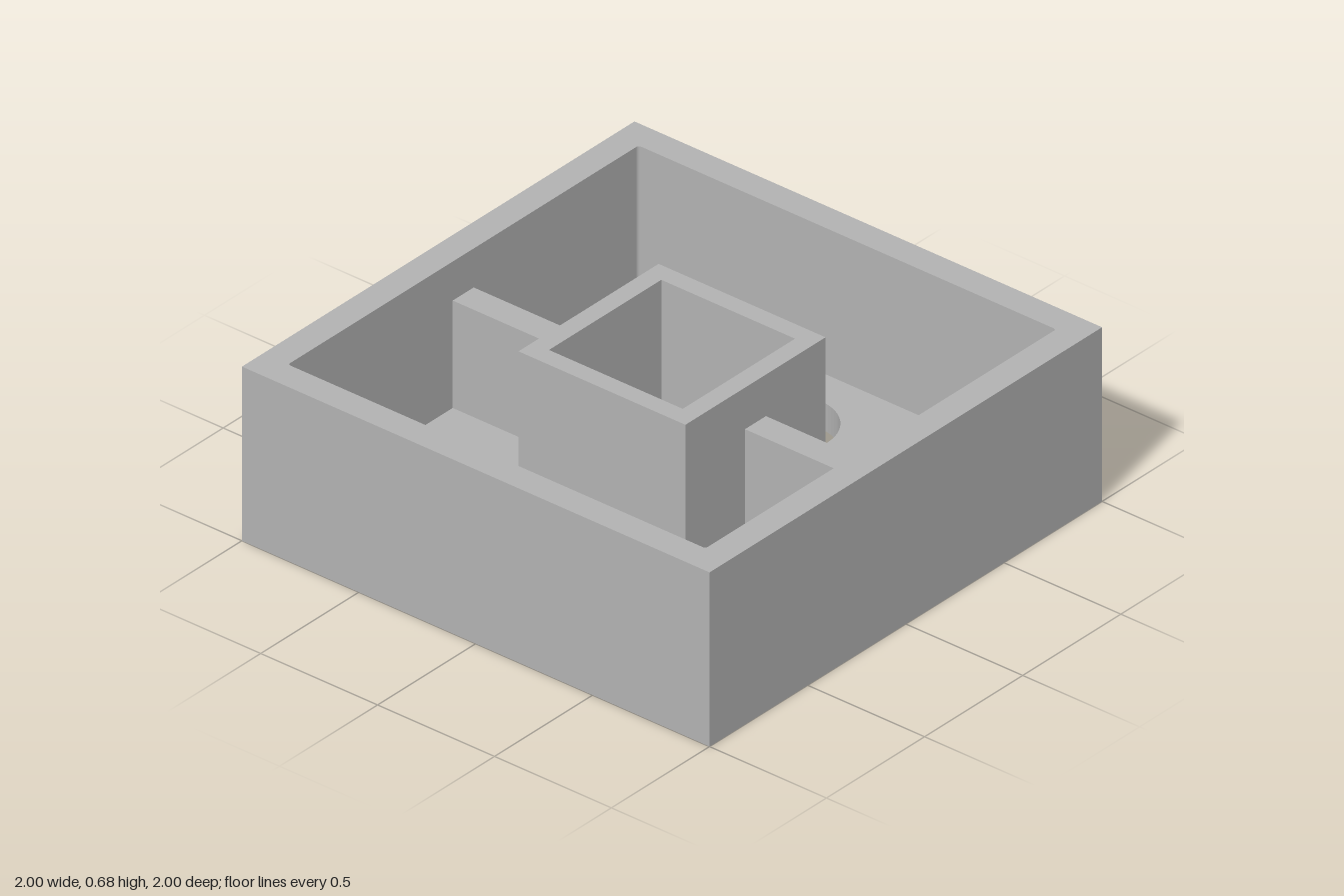
import * as THREE from 'three';

const FLOOR = 0.107, WALL_TOP = 0.67, TUBE_TOP = 0.68, RIB_TOP = 0.52;
const INNER = 0.893, TUBE_OUT = 0.357, TUBE_IN = 0.286;

// Square outline with optional rounded corners
function square(PathType, half, r = 0) {
  const p = new PathType();
  if (!r) {
    p.moveTo(-half, -half);
    p.lineTo(half, -half);
    p.lineTo(half, half);
    p.lineTo(-half, half);
  } else {
    const c = half - r;
    [[c, -c, -1], [c, c, 0], [-c, c, 1], [-c, -c, 2]].forEach(([x, y, q]) =>
      p.absarc(x, y, r, q * Math.PI / 2, (q + 1) * Math.PI / 2, false));
  }
  p.closePath();
  return p;
}

// Extrude a plan shape upwards from y0 to y1
function slab(shape, y0, y1) {
  const g = new THREE.ExtrudeGeometry(shape, { depth: y1 - y0, bevelEnabled: false, curveSegments: 32 });
  g.rotateX(-Math.PI / 2);
  g.translate(0, y0, 0);
  return g;
}

export function createModel() {
  const model = new THREE.Group();
  model.name = 'dividedBox';
  const grey = new THREE.MeshStandardMaterial({ color: 0xb2b2b2 });
  grey.name = 'plain grey';

  const add = (name, geometry) => {
    const mesh = new THREE.Mesh(geometry, grey);
    mesh.name = name;
    model.add(mesh);
    return mesh;
  };

  // Outer walls around a cavity with slightly softened corners
  const walls = square(THREE.Shape, 1);
  walls.holes.push(square(THREE.Path, INNER, 0.012));
  add('outerWalls', slab(walls, 0, WALL_TOP));

  // Floor with two round holes and the opening for the tube
  const floor = square(THREE.Shape, INNER, 0.012);
  floor.holes.push(square(THREE.Path, TUBE_IN));
  for (const s of [-1, 1]) {
    const hole = new THREE.Path();
    hole.absarc(0, s * 0.569, 0.186, 0, Math.PI * 2, false);
    floor.holes.push(hole);
  }
  add('floor', slab(floor, 0, FLOOR));

  // Square tube in the middle, open at both ends
  const tube = square(THREE.Shape, TUBE_OUT);
  tube.holes.push(square(THREE.Path, TUBE_IN));
  add('centreTube', slab(tube, FLOOR, TUBE_TOP));

  // Ribs joining the tube to the side walls
  for (const [name, s] of [['leftRib', 1], ['rightRib', -1]]) {
    const rib = add(name, new THREE.BoxGeometry(INNER - TUBE_OUT, RIB_TOP - FLOOR, 0.107));
    rib.position.set(s * (INNER + TUBE_OUT) / 2, (RIB_TOP + FLOOR) / 2, 0);
  }

  return model;
}
